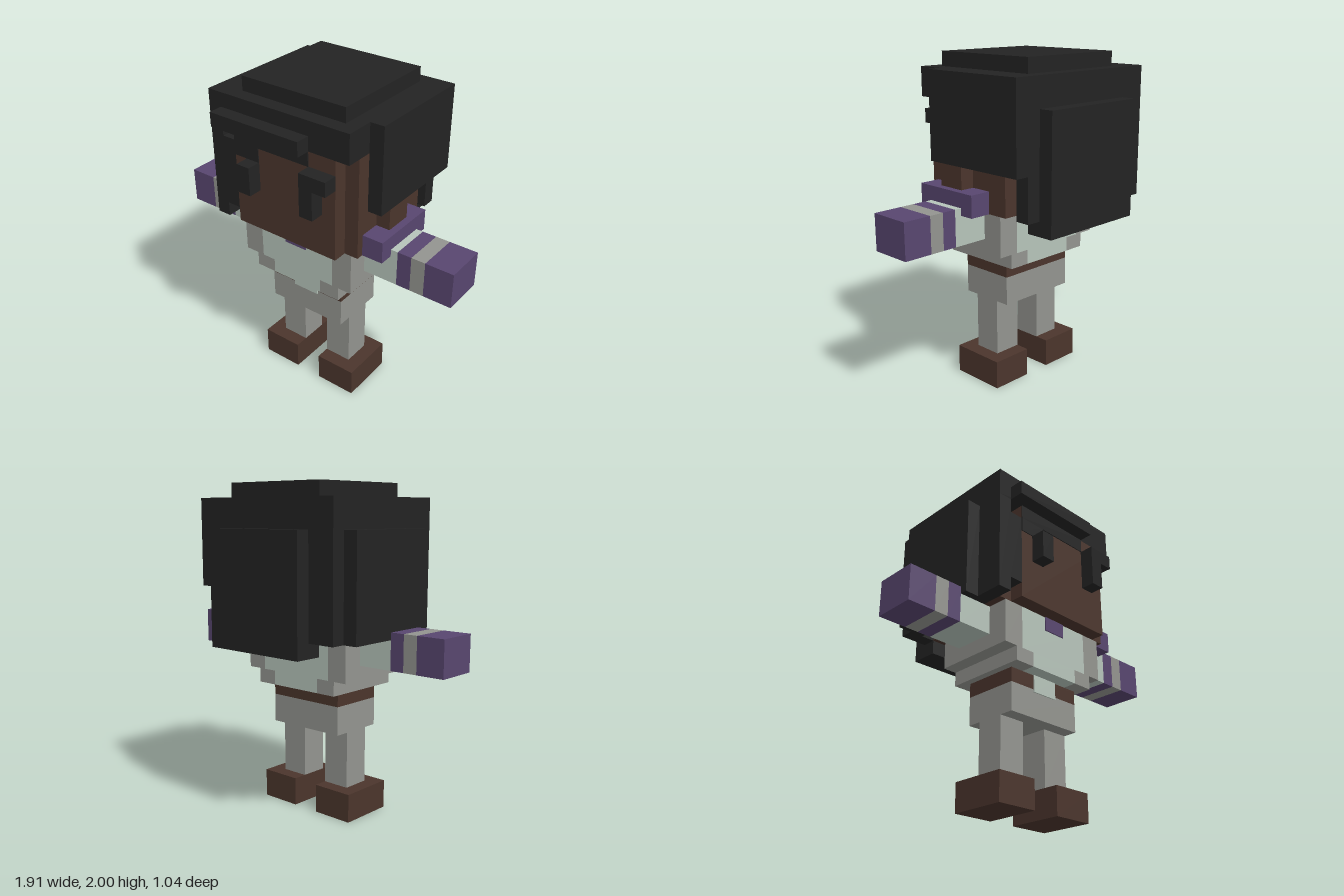
import * as THREE from 'three';

export function createModel() {
  const model = new THREE.Group();
  model.name = 'blockFigure';
  const u = 2 / 23; // one block

  const mat = (name, color) => {
    const m = new THREE.MeshStandardMaterial({ color });
    m.name = name;
    return m;
  };
  const hair = mat('blackHair', 0x232323);
  const brown = mat('darkBrown', 0x4b352c);
  const purple = mat('purple', 0x58466f);
  const grey = mat('warmGrey', 0x93948f);
  const pale = mat('paleGreen', 0xb6c4ba);

  // Box from its extents in blocks
  function box(name, material, x0, x1, y0, y1, z0, z1) {
    const g = new THREE.BoxGeometry((x1 - x0) * u, (y1 - y0) * u, (z1 - z0) * u);
    const mesh = new THREE.Mesh(g, material);
    mesh.position.set((x0 + x1) / 2 * u, (y0 + y1) / 2 * u, (z0 + z1) / 2 * u);
    mesh.name = name;
    model.add(mesh);
  }
  // The same box on both sides
  function pair(name, material, x0, x1, ...rest) {
    box(name + 'Left', material, x0, x1, ...rest);
    box(name + 'Right', material, -x1, -x0, ...rest);
  }

  // Legs and hips
  pair('boot', brown, 1, 4, 0, 2, -1, 3);
  pair('leg', grey, 1, 3, 2, 6, 0, 2);
  box('hips', grey, -3, 3, 6, 8, -1, 3);
  box('belt', brown, -3, 3, 8, 9, -1, 3);
  box('shirtTail', pale, -1, 1, 7.8, 9, 3, 3.08);

  // Torso: pale shirt between the two halves of an open vest
  box('shirtLower', pale, -2, 2, 9, 10, -2, 4);
  pair('vestLower', grey, 2, 3.5, 9, 10, -2, 4);
  box('shirtUpper', pale, -3, 3, 10, 13, -2, 4);
  pair('vestUpper', grey, 3, 4.5, 10, 13, -2, 4);
  box('collar', purple, -0.85, 0.85, 12, 13, 4, 4.08);

  // Arms with banded sleeves
  [['sleeve', pale, 4.5, 7], ['cuffBand', purple, 7, 8], ['wristBand', grey, 8, 9], ['glove', purple, 9, 11]]
    .forEach(([name, m, x0, x1]) => pair(name, m, x0, x1, 11, 13.5, -0.5, 2.5));
  box('shoulderPad', purple, 5, 6.5, 13, 14.5, -1.5, 3.5);

  // Head, with stepped corners
  box('face', brown, -4, 4, 13, 20, -4, 5);
  box('headSides', brown, -5, 5, 13, 20, -3, 4);
  box('earLeft', brown, 5, 6, 14, 16, 0, 2);

  // Hair cap and sides
  box('hairTop', hair, -4, 4, 22, 23, -4, 4);
  box('hairCap', hair, -6, 5, 20, 22, -5, 5);
  box('hairSideLeft', hair, 5, 6, 16, 22, -5, 3);
  box('hairSideRight', hair, -6, -5, 13, 20, -5, 5);
  box('hairOuterRight', hair, -7, -6, 13, 20, -4, 3);

  // Hair at the back
  box('hairBack', hair, -5, 5, 13, 20, -5, -4);
  box('hairBackTip', hair, -4, 4, 12, 13, -5, -4);
  box('hairBackOuter', hair, -4, 4, 12, 20, -6, -5);

  // Fringe and locks around the face
  box('fringe', hair, -5, 2, 20, 21, 5, 6);
  box('templeHair', hair, -5, -4, 14, 19, 4, 5);
  box('foreheadHair', hair, -4, 2, 19, 20, 5, 5.06);
  box('browHair', hair, -4, -2, 18, 19, 5, 5.06);
  box('lockRight', hair, -3, -2, 16, 18, 5, 6);
  box('lockLeft', hair, 2, 3, 16, 18, 5, 6);
  box('lockLeftTop', hair, 2, 4, 18, 19, 5, 6);

  return model;
}
